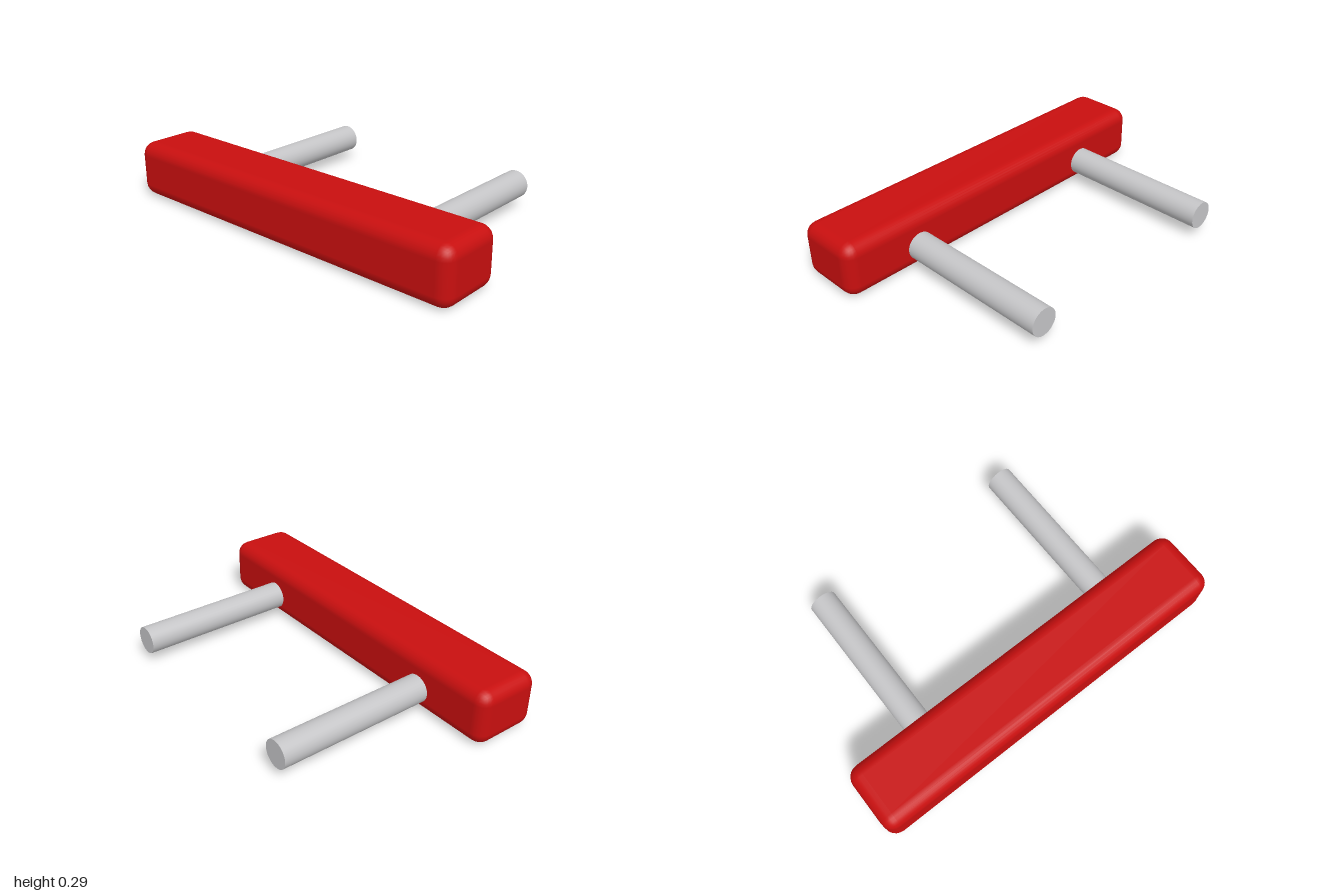
import * as THREE from 'three';
import { RoundedBoxGeometry } from 'three/addons/geometries/RoundedBoxGeometry.js';

const BAR = { width: 2, height: 0.29, depth: 0.355, front: 0.59, radius: 0.066 };
const POST = { radius: 0.072, x: 0.58, y: 0.117, back: -0.59, front: 0.3 };

export function createModel() {
  const red = new THREE.MeshStandardMaterial({ color: 0xc80f0f });
  red.name = 'red';
  const grey = new THREE.MeshStandardMaterial({ color: 0xc4c4c6 });
  grey.name = 'light grey';

  const model = new THREE.Group();
  model.name = 'barWithPosts';

  // Rounded bar across the front
  const bar = new THREE.Mesh(
    new RoundedBoxGeometry(BAR.width, BAR.height, BAR.depth, 3, BAR.radius), red);
  bar.name = 'bar';
  bar.position.set(0, BAR.height / 2, BAR.front - BAR.depth / 2);
  model.add(bar);

  // Two round posts running back from the bar, sunk slightly into it
  const postGeometry = new THREE.CylinderGeometry(
    POST.radius, POST.radius, POST.front - POST.back, 32);
  postGeometry.rotateX(Math.PI / 2);
  for (const side of [1, -1]) {
    const post = new THREE.Mesh(postGeometry, grey);
    post.name = side > 0 ? 'leftPost' : 'rightPost';
    post.position.set(side * POST.x, POST.y, (POST.front + POST.back) / 2);
    model.add(post);
  }
  return model;
}
